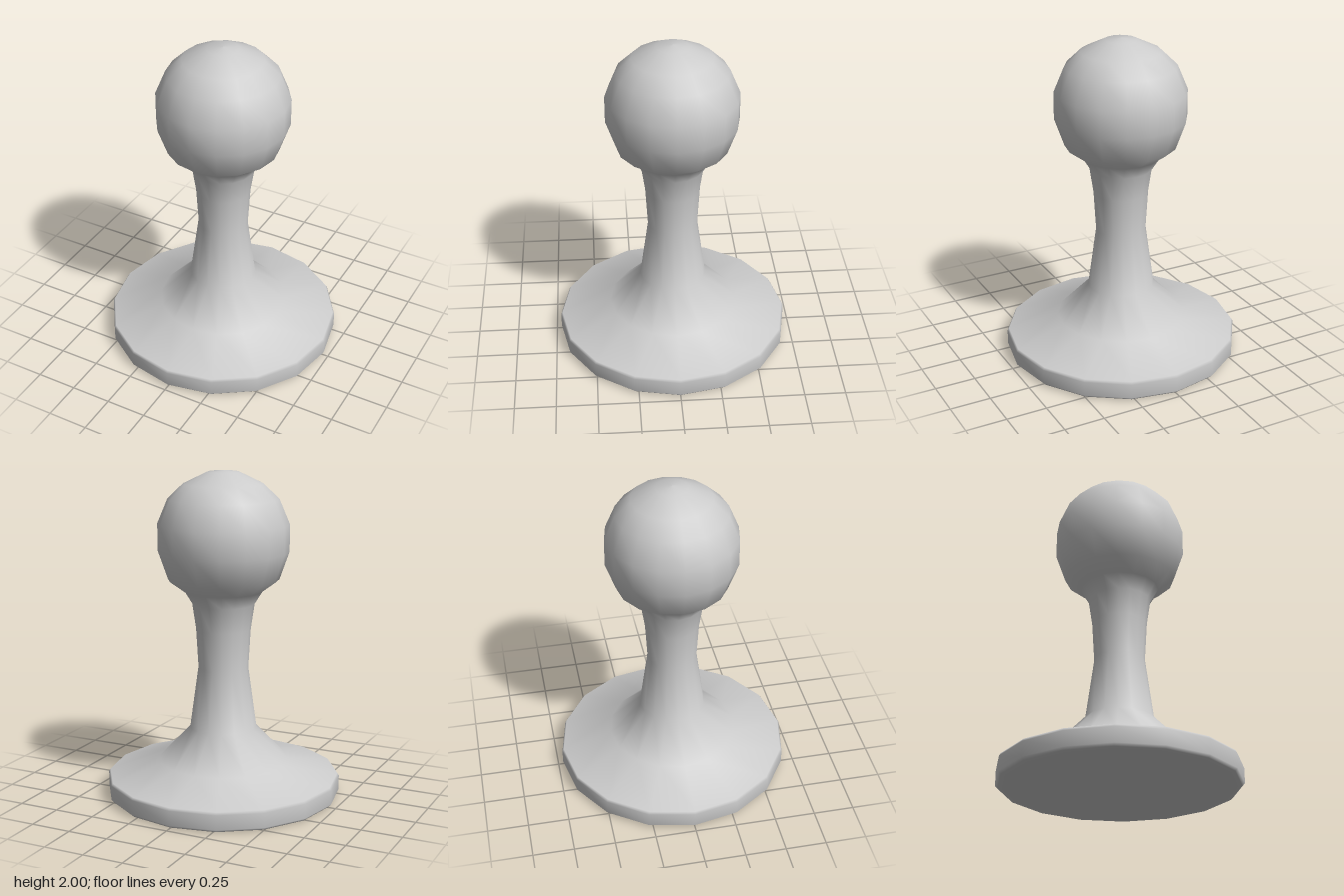
import * as THREE from 'three';

// Radius and height pairs, from the underside up to the crown
const base = [[0, 0], [0.66, 0], [0.705, 0.004], [0.72, 0.02], [0.72, 0.11], [0.71, 0.126], [0.4, 0.217]];
const stem = [[0.205, 0.42], [0.153, 0.8], [0.167, 1.04], [0.19, 1.195]];
const head = [[0.24, 1.275], [0.338, 1.347], [0.397, 1.515], [0.397, 1.68], [0.334, 1.83], [0.24, 1.92], [0.095, 1.99], [0, 2]];

export function createModel() {
  const group = new THREE.Group();
  group.name = 'pawnPiece';

  // Base, stem and ball head turned as one continuous smooth surface
  const profile = [...base, ...stem, ...head].map(([r, y]) => new THREE.Vector2(r, y));
  const body = new THREE.Mesh(
    new THREE.LatheGeometry(profile, 16),
    new THREE.MeshStandardMaterial({ color: 0xcccccc })
  );
  body.name = 'turnedBody';
  group.add(body);
  return group;
}
